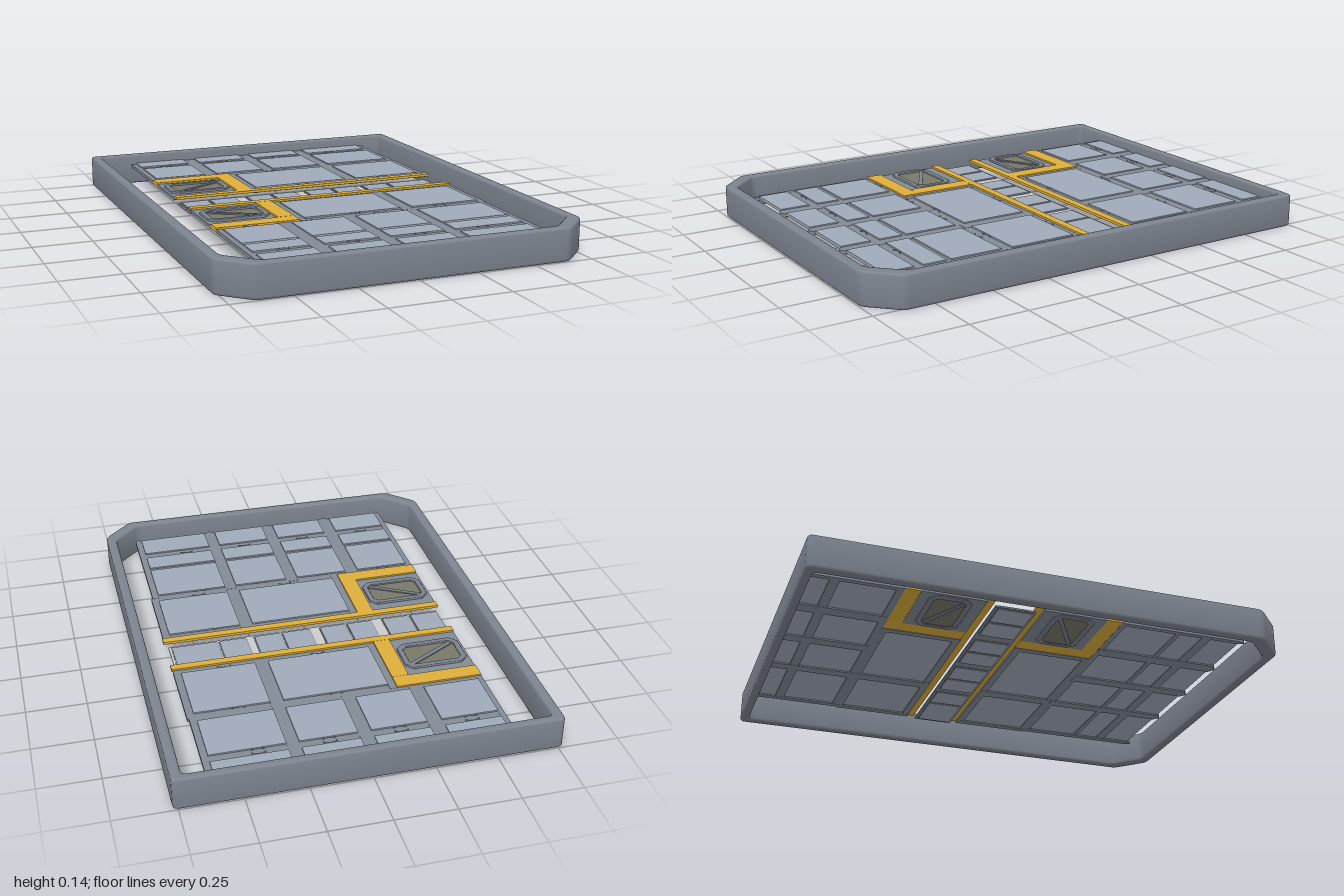
import * as THREE from 'three';
import { toCreasedNormals } from 'three/addons/utils/BufferGeometryUtils.js';

const mat = (color) => new THREE.MeshStandardMaterial({ color });
const frameMat = mat(0x7d848f), barMat = mat(0x828a96), panelMat = mat(0xa0a9b9);
const yellowMat = mat(0xdcae3a), glassMat = mat(0x77776a), paleMat = mat(0xbfc1c3);

export function createModel() {
  const model = new THREE.Group();
  model.name = 'deckTray';

  const add = (parent, name, geometry, material) => {
    const mesh = new THREE.Mesh(geometry, material);
    mesh.name = name;
    parent.add(mesh);
    return mesh;
  };
  // Slab given by its extents in x, z and y
  const slab = (parent, name, material, x0, x1, z0, z1, y0, y1) =>
    add(parent, name, new THREE.BoxGeometry(x1 - x0, y1 - y0, z1 - z0), material)
      .position.set((x0 + x1) / 2, (y0 + y1) / 2, (z0 + z1) / 2);
  // Counter-clockwise outline from [x, z] pairs
  const toPoints = (list) => {
    const pts = list.map(([x, z]) => new THREE.Vector2(x, -z));
    return THREE.ShapeUtils.isClockWise(pts) ? pts.reverse() : pts;
  };
  // Outline extruded upwards, with an optional hole
  const plate = (outline, hole, y0, height, bevel) => {
    const shape = new THREE.Shape(toPoints(outline));
    if (hole) shape.holes.push(new THREE.Path(toPoints(hole).reverse()));
    const g = new THREE.ExtrudeGeometry(shape, {
      depth: height - 2 * bevel, bevelEnabled: bevel > 0, bevelSize: bevel,
      bevelThickness: bevel, bevelOffset: -bevel, bevelSegments: 3,
    });
    g.rotateX(-Math.PI / 2).translate(0, y0 + bevel, 0);
    return toCreasedNormals(g, 0.6);
  };
  // Rounds every corner of an [x, z] outline
  const rounded = (list, r) => list.flatMap((p, i) => {
    const corner = new THREE.Vector2(...p);
    const toward = (q) => new THREE.Vector2(...q).sub(corner).setLength(r).add(corner);
    const a = toward(list.at(i - 1)), b = toward(list[(i + 1) % list.length]);
    return new THREE.QuadraticBezierCurve(a, corner, b).getPoints(4).map((v) => [v.x, v.y]);
  });

  // Outer rim with two cut front corners
  const rim = (w, back, front, cut) => [
    [-w, back], [w, back], [w, front - cut], [w - cut, front], [-w + cut, front], [-w, front - cut]];
  add(model, 'rim', plate(rounded(rim(0.77, -1, 1, 0.12), 0.022),
    rounded(rim(0.727, -0.965, 0.957, 0.115), 0.022), 0, 0.14, 0.01), frameMat);

  // Storage panel field: lengthwise beams, cross beams and raised panels
  const floor = new THREE.Group();
  floor.name = 'floor';
  model.add(floor);
  const B0 = 0.078, B1 = 0.092, P0 = 0.084, P1 = 0.097;
  const columns = [[-0.557, -0.324], [-0.265, -0.037], [0.016, 0.25], [0.3, 0.605]];
  const beams = [[-0.58, -0.557], [-0.324, -0.265], [-0.037, 0.016], [0.25, 0.3], [0.605, 0.633]];
  for (const [a, b] of beams) {
    slab(floor, 'backBeam', barMat, a, b, -0.975, -0.58, B0, B1);
    const tip = [[a, 0.345], [b, 0.345], [b, 0.88], [(a + b) / 2, 0.9], [a, 0.88]];
    add(floor, 'frontBeam', plate(tip, null, B0, B1 - B0, 0), barMat);
  }
  for (const [a, b] of [[-0.87, -0.83], [-0.605, -0.575], [0.34, 0.365], [0.59, 0.61], [0.71, 0.75]])
    slab(floor, 'crossBeam', barMat, -0.58, 0.633, a, b, B0 + 0.001, B1 - 0.001);
  const rows = [[-0.975, -0.87], [-0.83, -0.605], [0.365, 0.59], [0.61, 0.71], [0.75, 0.88]];
  for (const [z0, z1] of rows)
    for (const [x0, x1] of columns) slab(floor, 'panel', panelMat, x0, x1, z0, z1, P0, P1);

  // Flat half-ring pull handles lying along the panel edges
  const handle = (x, z, dir) => {
    const h = add(floor, 'handle', new THREE.TorusGeometry(0.026, 0.003, 6, 12, Math.PI), panelMat);
    h.rotation.x = dir * Math.PI / 2;
    h.scale.y = 0.45;
    h.position.set(x, 0.095, z);
  };
  for (const x of [-0.44, -0.15, 0.135, 0.415]) {
    handle(x, -0.857, -1);
    handle(x, -0.843, 1);
    handle(x, 0.725, -1);
    handle(x, 0.353, 1);
  }

  // The two middle bays mirror each other across the centre channel
  for (const side of [-1, 1]) {
    const bay = new THREE.Group();
    bay.name = side < 0 ? 'backBay' : 'frontBay';
    model.add(bay);
    const Z = (d) => -0.118 + side * d;
    const box = (name, m, x0, x1, d0, d1, y0, y1) =>
      slab(bay, name, m, x0, x1, Math.min(Z(d0), Z(d1)), Math.max(Z(d0), Z(d1)), y0, y1);

    // Large panels and surrounding beams
    for (const [a, b] of [[-0.22, -0.19], [0.245, 0.3], [0.61, 0.64]])
      box('bayBeam', barMat, a, b, 0.12, 0.462, B0, B1);
    for (const [a, b] of [[0.12, 0.15], [0.435, 0.462]])
      box('bayCrossBeam', barMat, -0.22, 0.64, a, b, B0 + 0.001, B1 - 0.001);
    for (const [x0, x1] of [[-0.19, 0.245], [0.3, 0.61]]) {
      box('largePanel', panelMat, x0, x1, 0.15, 0.435, P0, P1);
      const mid = x0 < 0 ? 0.03 : 0.43;
      handle(mid, Z(0.14), side);
      handle(mid, Z(0.447), -side);
    }

    // Yellow marking strips
    box('yellowStripe', yellowMat, -0.58, 0.645, 0.087, 0.121, 0.088, 0.099);
    box('yellowUpright', yellowMat, -0.29, -0.22, 0.121, 0.393, 0.08, 0.0985);
    box('yellowEnd', yellowMat, -0.58, -0.22, 0.393, 0.462, 0.08, 0.098);

    // Hatch: octagonal ring, window and diagonal brace showing on both faces
    box('hatchBase', barMat, -0.58, -0.29, 0.121, 0.393, 0.079, 0.091);
    const oct = (x0, x1, d0, d1, c) => [[x0 + c, d0], [x1 - c, d0], [x1, d0 + c], [x1, d1 - c],
      [x1 - c, d1], [x0 + c, d1], [x0, d1 - c], [x0, d0 + c]].map(([x, d]) => [x, Z(d)]);
    add(bay, 'hatchRing', plate(oct(-0.567, -0.3, 0.172, 0.35, 0.03),
      oct(-0.545, -0.322, 0.194, 0.328, 0.018), 0.073, 0.028, 0.003), frameMat);
    box('hatchWindow', glassMat, -0.545, -0.322, 0.194, 0.328, 0.077, 0.093);
    const brace = add(bay, 'hatchBrace', new THREE.BoxGeometry(0.235, 0.024, 0.018), frameMat);
    brace.position.set(-0.433, 0.086, Z(0.261));
    brace.rotation.y = -side * Math.atan2(0.12, 0.21);
  }

  // Sunken centre channel with small plates
  const channel = new THREE.Group();
  channel.name = 'centreChannel';
  model.add(channel);
  slab(channel, 'channelBase', barMat, -0.572, 0.625, -0.204, -0.032, 0.066, 0.071);
  slab(channel, 'channelLining', paleMat, -0.572, 0.625, -0.204, -0.032, 0.071, 0.073);
  const cuts = [[-0.567, -0.443], [-0.438, -0.315], [-0.27, -0.155], [-0.15, -0.033],
    [0.008, 0.135], [0.14, 0.258], [0.288, 0.411], [0.416, 0.615]];
  for (const [a, b] of cuts) {
    slab(channel, 'channelPlateEdge', barMat, a, b, -0.193, -0.043, 0.064, 0.076);
    slab(channel, 'channelPlate', panelMat, a + 0.004, b - 0.004, -0.189, -0.047, 0.062, 0.079);
  }
  return model;
}
